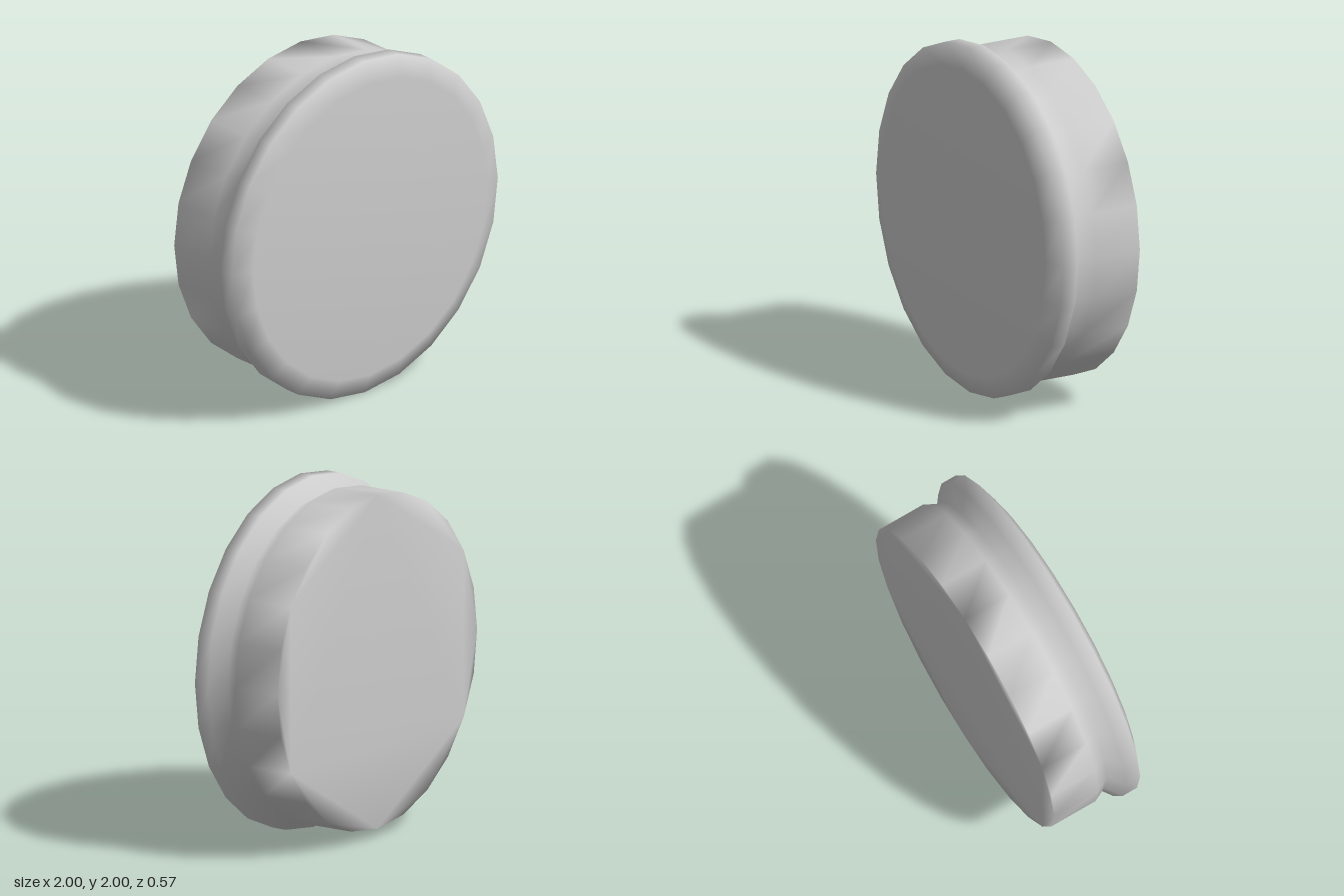
import * as THREE from 'three';
import { mergeGeometries, mergeVertices } from 'three/addons/utils/BufferGeometryUtils.js';

const SIDES = 24;

// Keep positions only, so touching vertices weld and shade smoothly
function bare(geometry) {
  geometry.deleteAttribute('normal');
  geometry.deleteAttribute('uv');
  return geometry;
}

export function createModel() {
  const group = new THREE.Group();
  group.name = 'groovedDisc';

  // Radius and depth, from the back rim over the groove to the bevelled front
  const profile = [
    [0.95, -0.285], [0.95, 0], [0.91, 0.08],
    [1, 0.15], [1, 0.24], [0.88, 0.285],
  ].map(([r, z]) => new THREE.Vector2(r, z));
  const wall = new THREE.LatheGeometry(profile, SIDES).rotateX(Math.PI / 2);

  // Flat front face
  const front = new THREE.CircleGeometry(0.88, SIDES).translate(0, 0, 0.285);

  // Flat back face spanned directly between the rim corners
  const rim = [];
  for (let i = 0; i < SIDES; i++) {
    const a = (i / SIDES) * Math.PI * 2;
    rim.push(new THREE.Vector2(0.95 * Math.cos(a), 0.95 * Math.sin(a)));
  }
  const back = new THREE.ShapeGeometry(new THREE.Shape(rim))
    .rotateY(Math.PI).translate(0, 0, -0.285);

  const geometry = mergeVertices(mergeGeometries([wall, front, back].map(bare)), 1e-4);
  geometry.computeVertexNormals();

  const disc = new THREE.Mesh(geometry, new THREE.MeshStandardMaterial({ color: 0xcccccc }));
  disc.name = 'disc';
  disc.position.y = 1;
  group.add(disc);
  return group;
}
